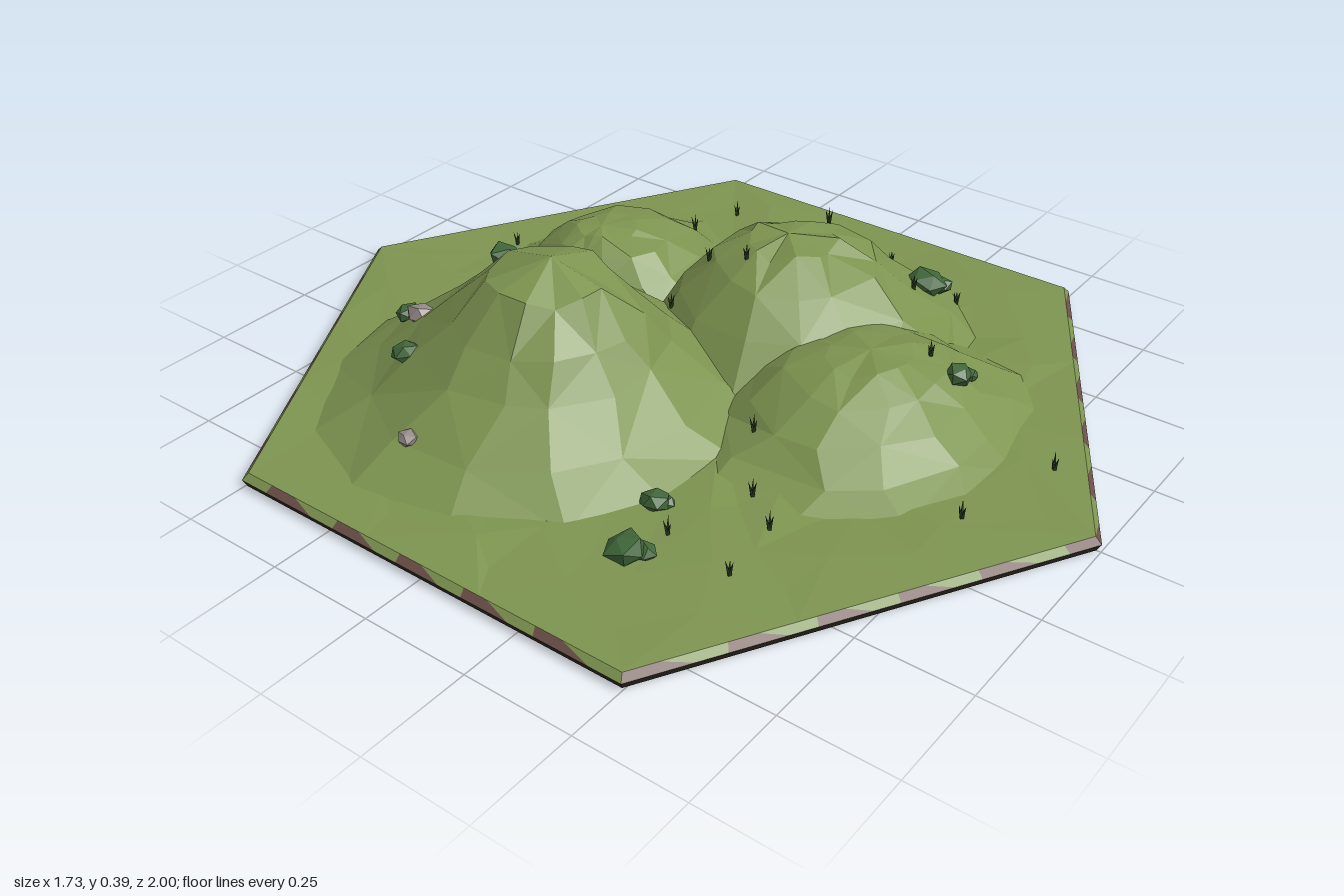
import * as THREE from 'three';

const mat = (color) => new THREE.MeshStandardMaterial({ color, flatShading: true, roughness: 1 });
const GRASS = mat(0x7d9450), SOIL = mat(0x6b5048), EARTH = mat(0x2c251e);
const BUSH = mat(0x41663a), ROCK = mat(0x948a88), BLADE = mat(0x24351a);

let seed = 7;
const rand = () => (seed = (seed * 16807) % 2147483647) / 2147483647;
const jit = (s) => (rand() - 0.5) * 2 * s;

function triMesh(name, tris, material) {
  const geo = new THREE.BufferGeometry();
  geo.setAttribute('position', new THREE.Float32BufferAttribute(tris.flat(2), 3));
  geo.computeVertexNormals();
  const mesh = new THREE.Mesh(geo, material);
  mesh.name = name;
  return mesh;
}

// Faceted surface: rings[0] is the single top point, the others run around it
function ringSurface(name, rings, material) {
  const tris = [], n = rings[1].length;
  for (let k = 1; k < rings.length; k++) {
    for (let i = 0; i < n; i++) {
      const j = (i + 1) % n, a = rings[k][i], b = rings[k][j];
      if (k === 1) { tris.push([rings[0][0], b, a]); continue; }
      const c = rings[k - 1][i], d = rings[k - 1][j];
      if ((i + k) % 2) tris.push([c, b, a], [c, d, b]);
      else tris.push([c, d, a], [d, b, a]);
    }
  }
  return triMesh(name, tris, material);
}

// Hill with footprint radii at 8 compass angles, starting at +x and turning to +z
function hill(name, x, z, height, radii, profile) {
  const n = 13, base = 0.028, rings = [[[x, base + height, z]]];
  for (const [t, h] of profile) {
    const ring = [];
    for (let i = 0; i < n; i++) {
      const a = ((i + jit(0.2)) / n) * Math.PI * 2;
      const u = (((a / Math.PI) * 4) + 8) % 8, k = Math.floor(u);
      const r = THREE.MathUtils.lerp(radii[k], radii[(k + 1) % 8], u - k) * t * (1 + jit(0.05));
      const y = base + height * h * (1 + jit(0.05)) - (h === 0 ? 0.006 : 0);
      ring.push([x + Math.cos(a) * r, y, z + Math.sin(a) * r]);
    }
    rings.push(ring);
  }
  return ringSurface(name, rings, GRASS);
}

const hexPoint = (a, size, y) => {
  const s = Math.PI / 3;
  const off = ((((a + s / 2) % s) + s) % s) - s / 2;
  const r = (size * Math.cos(Math.PI / 6)) / Math.cos(off);
  return [Math.cos(a) * r, y, Math.sin(a) * r];
};

// Gently uneven meadow
function ground() {
  const n = 36, rings = [[[0, 0.03, 0]]];
  for (const size of [0.3, 0.55, 0.72, 0.86, 0.985]) {
    const edge = size > 0.9, ring = [];
    for (let i = 0; i < n; i++) {
      const a = ((i + (edge ? 0 : jit(0.25))) / n) * Math.PI * 2;
      ring.push(hexPoint(a, edge ? size : size * (1 + jit(0.05)), edge ? 0.032 : 0.034 + jit(0.007)));
    }
    rings.push(ring);
  }
  return ringSurface('meadow', rings, GRASS);
}

// Bevelled rim of alternating turf and soil patches
function rim() {
  const turf = [], soil = [], n = 96;
  const at = (i, s, y) => hexPoint((i / n) * Math.PI * 2, s, y);
  for (let i = 0; i < n; i++) {
    const a = at(i, 0.985, 0.032), b = at(i + 1, 0.985, 0.032);
    const c = at(i, 1, 0.018), d = at(i + 1, 1, 0.018);
    (i % 3 ? turf : soil).push([a, b, c]);
    (i % 3 === 1 ? turf : soil).push([b, d, c]);
  }
  const g = new THREE.Group();
  g.name = 'rim';
  g.add(triMesh('turfPatches', turf, GRASS), triMesh('soilPatches', soil, SOIL));
  return g;
}

// Irregular faceted lump for bushes and rocks
function lump(name, r, material, squash) {
  const geo = new THREE.IcosahedronGeometry(r, 0), p = geo.attributes.position, seen = {};
  for (let i = 0; i < p.count; i++) {
    const key = [p.getX(i), p.getY(i), p.getZ(i)].map((v) => Math.round(v * 1e4)).join();
    const s = (seen[key] ??= 1 + jit(0.18));
    p.setXYZ(i, p.getX(i) * s, p.getY(i) * s * squash, p.getZ(i) * s);
  }
  geo.computeVertexNormals();
  const mesh = new THREE.Mesh(geo, material);
  mesh.name = name;
  mesh.rotation.y = rand() * 6;
  return mesh;
}

function bush(r) {
  const g = new THREE.Group();
  g.name = 'bush';
  const main = lump('bushCrown', r, BUSH, 0.7);
  const side = lump('bushSide', r * 0.6, BUSH, 0.7);
  main.position.y = r * 0.4;
  side.position.set(r * 0.55, r * 0.2, r * 0.5);
  g.add(main, side);
  return g;
}

function grassTuft() {
  const g = new THREE.Group();
  g.name = 'grassTuft';
  for (let i = 0; i < 3; i++) {
    const h = 0.03 + rand() * 0.012;
    const blade = new THREE.Mesh(new THREE.ConeGeometry(0.005, h, 4).translate(0, h / 2, 0), BLADE);
    blade.name = 'grassBlade';
    blade.rotation.set(0.25 * Math.cos(i * 2.1), 0, 0.25 * Math.sin(i * 2.1));
    g.add(blade);
  }
  return g;
}

export function createModel() {
  seed = 7;
  const model = new THREE.Group();
  model.name = 'hillTile';

  // Hexagonal earth slab
  const slab = new THREE.Mesh(new THREE.CylinderGeometry(1, 0.99, 0.018, 6).translate(0, 0.009, 0), EARTH);
  slab.name = 'earthSlab';
  model.add(slab, rim());

  // Meadow and hills
  const round = [[0.26, 0.85], [0.42, 0.63], [0.56, 0.43], [0.76, 0.18], [1, 0]];
  const broad = [[0.24, 0.95], [0.45, 0.78], [0.64, 0.48], [0.82, 0.18], [1, 0]];
  const land = [
    ground(),
    hill('mainHill', -0.27, -0.16, 0.365, [0.5, 0.47, 0.43, 0.46, 0.49, 0.52, 0.58, 0.53], round),
    hill('eastHill', 0.27, 0.07, 0.265, [0.45, 0.47, 0.45, 0.42, 0.42, 0.38, 0.34, 0.38], broad),
    hill('frontHill', 0.1, 0.4, 0.165, [0.4, 0.4, 0.34, 0.38, 0.45, 0.4, 0.35, 0.4], broad),
    hill('backHill', 0.2, -0.42, 0.16, [0.42, 0.36, 0.32, 0.24, 0.2, 0.22, 0.28, 0.34], broad),
  ];
  model.add(...land);
  model.updateMatrixWorld(true);

  // Rest an object on the terrain
  const ray = new THREE.Raycaster(), down = new THREE.Vector3(0, -1, 0);
  const place = (obj, x, z) => {
    ray.set(new THREE.Vector3(x, 2, z), down);
    const hit = ray.intersectObjects(land)[0];
    obj.position.set(x, (hit ? hit.point.y : 0.03) + obj.position.y, z);
    model.add(obj);
  };

  // Bushes
  for (const [x, z, r] of [[-0.6, 0.3, 0.046], [-0.44, 0.24, 0.033], [0.53, 0.29, 0.046], [0.18, 0.57, 0.034],
    [0.13, -0.68, 0.045], [-0.3, -0.58, 0.031], [-0.48, -0.4, 0.032]]) place(bush(r), x, z);

  // Rocks
  for (const [x, z, r] of [[-0.33, -0.5, 0.034], [-0.64, -0.24, 0.024], [-0.01, -0.6, 0.021]])
    place(lump('rock', r, ROCK, 0.8), x, z);

  // Grass tufts
  for (const [x, z] of [[0.22, -0.72], [0.07, -0.62], [0.69, -0.37], [0.44, -0.32], [0.09, -0.28], [0.52, -0.27],
    [0.07, -0.11], [0.16, -0.07], [0.69, -0.07], [0.15, 0.04], [0.44, 0.07], [0.71, 0.09], [-0.17, 0.29],
    [-0.5, 0.32], [-0.3, 0.38], [-0.37, 0.47], [-0.53, 0.49], [0.45, 0.3], [0.61, 0.33], [0.18, 0.5],
    [-0.11, 0.75], [0.15, 0.82]]) place(grassTuft(), x, z);

  return model;
}
